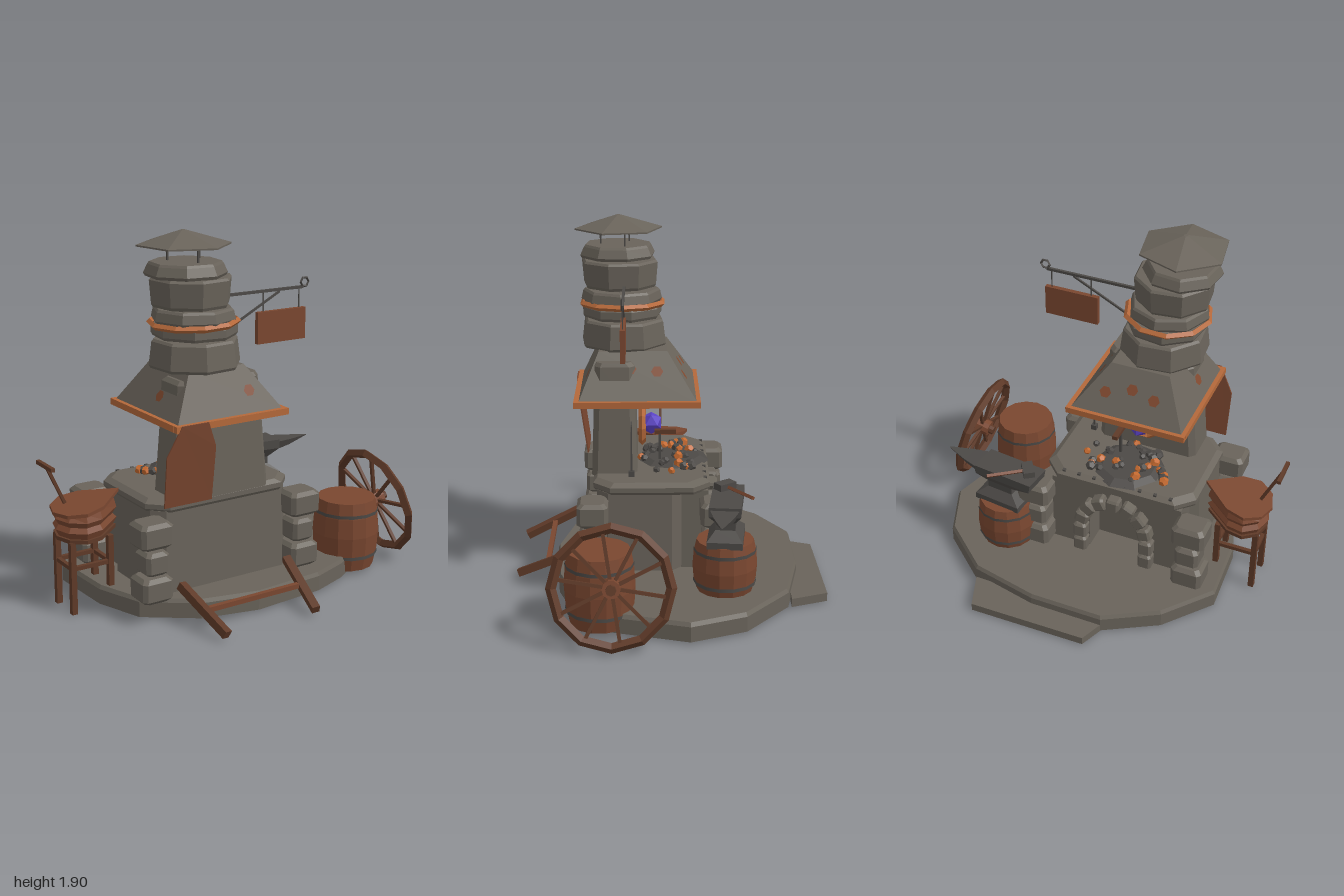
import * as THREE from 'three';

const V = (x, y, z) => new THREE.Vector3(x, y, z);
const paint = (name, color) => {
  const m = new THREE.MeshStandardMaterial({ color });
  m.name = name;
  return m;
};

// Splits shared corners so every facet is shaded flat
function flat(g) {
  const f = g.index ? g.toNonIndexed() : g;
  f.computeVertexNormals();
  return f;
}

// Closed solid through a list of equal-length rings, always facing outward
function loft(rings) {
  const tris = [], n = rings[0].length, last = rings[rings.length - 1];
  for (let i = 0; i < rings.length - 1; i++) {
    for (let j = 0; j < n; j++) {
      const k = (j + 1) % n, a = rings[i], b = rings[i + 1];
      tris.push([a[j], a[k], b[k]], [a[j], b[k], b[j]]);
    }
  }
  for (let j = 1; j < n - 1; j++) {
    tris.push([rings[0][0], rings[0][j + 1], rings[0][j]], [last[0], last[j], last[j + 1]]);
  }
  const volume = tris.reduce((s, [a, b, c]) => s + a.dot(b.clone().cross(c)), 0);
  const pts = tris.flatMap(([a, b, c]) => (volume > 0 ? [a, b, c] : [a, c, b]));
  return flat(new THREE.BufferGeometry().setFromPoints(pts));
}

// Rectangle ring, with cut corners when c > 0
function rect(x0, x1, z0, z1, y, c = 0) {
  const p = c ? [[x0 + c, z0], [x1 - c, z0], [x1, z0 + c], [x1, z1 - c], [x1 - c, z1], [x0 + c, z1], [x0, z1 - c], [x0, z0 + c]]
    : [[x0, z0], [x1, z0], [x1, z1], [x0, z1]];
  return p.map(([x, z]) => V(x, y, z));
}

const outline = (pts, y, s = 1, cx = 0, cz = 0) =>
  pts.map(([x, z]) => V(cx + (x - cx) * s, typeof y === 'function' ? y(x) : y, cz + (z - cz) * s));

const ngon = (cx, cz, r, y, n, turn = 0) => Array.from({ length: n }, (_, i) => {
  const a = turn + (i / n) * Math.PI * 2;
  return V(cx + r * Math.cos(a), y, cz + r * Math.sin(a));
});

export function createModel() {
  const root = new THREE.Group();
  root.name = 'forge';
  const stone = paint('stone', 0x69635a), iron = paint('iron', 0x4c4946), wood = paint('wood', 0x7a4730);
  const darkWood = paint('dark wood', 0x5f3a28), copper = paint('copper', 0xb4683a), rust = paint('rust', 0x80492f);
  const ember = paint('ember', 0xc4692f), crystal = paint('crystal', 0x5a42c4);

  const add = (name, geo, mat, parent = root) => {
    const m = new THREE.Mesh(geo, mat);
    m.name = name;
    parent.add(m);
    return m;
  };
  const box = (name, w, h, d, x, y, z, mat, parent) => {
    const m = add(name, new THREE.BoxGeometry(w, h, d), mat, parent);
    m.position.set(x, y, z);
    return m;
  };
  // Straight bar between two points
  const bar = (name, a, b, w, mat, parent, sides = 4) => {
    const g = flat(new THREE.CylinderGeometry(w / 2, w / 2, a.distanceTo(b), sides).rotateY(Math.PI / 4));
    const m = add(name, g, mat, parent);
    m.position.copy(a).lerp(b, 0.5);
    m.quaternion.setFromUnitVectors(V(0, 1, 0), b.clone().sub(a).normalize());
    return m;
  };
  // Block with worn edges
  const block = (name, w, h, d, x, y, z) => {
    const e = Math.min(w, h, d) * 0.15;
    const ring = (s, yy) => rect(-w / 2 + s, w / 2 - s, -d / 2 + s, d / 2 - s, yy, e);
    const m = add(name, loft([ring(e, -h / 2), ring(0, -h / 2 + e), ring(0, h / 2 - e), ring(e, h / 2)]), stone);
    m.position.set(x, y, z);
    return m;
  };

  // Ground platform and step
  const ground = [[-0.76, -0.28], [-0.55, -0.53], [-0.27, -0.69], [0.13, -0.69], [0.5, -0.61], [0.77, -0.38], [0.88, -0.1],
    [0.75, 0.35], [0.5, 0.5], [0.3, 0.57], [-0.1, 0.6], [-0.4, 0.53], [-0.65, 0.35], [-0.74, 0.1]];
  add('platform', loft([outline(ground, 0.01), outline(ground, 0.09), outline(ground, 0.11, 0.985)]), stone);
  const step = [[-0.29, -0.64], [-0.22, -0.81], [0.42, -0.82], [0.49, -0.63]];
  add('step', loft([outline(step, 0.005), outline(step, 0.05)]), stone);

  // Hearth body with an arched recess at the back
  add('hearthBody', loft([rect(-0.57, 0.26, -0.08, 0.38, 0.1, 0.06), rect(-0.56, 0.25, -0.08, 0.37, 0.54, 0.06)]), stone);
  const wall = new THREE.Shape();
  wall.moveTo(-0.37, 0.1).lineTo(-0.15, 0.1).lineTo(-0.15, 0.3);
  wall.absarc(0, 0.3, 0.15, Math.PI, 0, true);
  wall.lineTo(0.15, 0.1).lineTo(0.37, 0.1).lineTo(0.37, 0.54).lineTo(-0.37, 0.54);
  add('hearthBackWall', new THREE.ExtrudeGeometry(wall, { depth: 0.14, bevelEnabled: false, curveSegments: 8 }), stone)
    .position.set(-0.155, 0, -0.21);
  for (let i = 0; i < 7; i++) {
    const a = ((i + 0.5) / 7) * Math.PI;
    block('archStone', 0.075, 0.075, 0.09, -0.155 + 0.185 * Math.cos(a), 0.3 + 0.185 * Math.sin(a), -0.225).rotation.z = a;
  }
  for (const s of [-1, 1]) for (const y of [0.15, 0.245]) block('archStone', 0.075, 0.09, 0.09, -0.155 + s * 0.19, y, -0.225);
  for (const s of [-1, 1]) for (const z of [-0.245, 0.39]) {
    block('cornerStone', 0.18, 0.13, 0.16, -0.155 + s * 0.445, 0.455, z);
    block('cornerStone', 0.13, 0.12, 0.14, -0.155 + s * 0.44, 0.31, z);
    block('cornerStone', 0.17, 0.13, 0.16, -0.155 + s * 0.445, 0.175, z);
  }
  add('hearthSlab', loft([rect(-0.57, 0.26, -0.22, 0.38, 0.535, 0.09), rect(-0.58, 0.27, -0.22, 0.39, 0.55, 0.09),
    rect(-0.58, 0.27, -0.22, 0.39, 0.575, 0.09), rect(-0.55, 0.24, -0.19, 0.37, 0.595, 0.09)]), stone);
  for (let i = 0; i < 8; i++) box('rivet', 0.018, 0.015, 0.018, -0.46 + i * 0.087, 0.588, -0.195, iron);

  // Coals
  let seed = 7;
  const rnd = () => (seed = (seed * 16807) % 2147483647) / 2147483647;
  add('coalBed', loft([ngon(-0.16, -0.03, 0.2, 0.59, 9), ngon(-0.16, -0.03, 0.15, 0.615, 9)]), iron);
  for (let i = 0; i < 34; i++) {
    const a = rnd() * 6.28, r = 0.21 * Math.sqrt(rnd()), s = 0.016 + rnd() * 0.014;
    const c = add('coal', flat(new THREE.DodecahedronGeometry(s)), i % 3 ? iron : ember);
    c.position.set(-0.16 + r * 1.25 * Math.cos(a), 0.632 - r * 0.12, -0.02 + r * 0.8 * Math.sin(a));
    c.rotation.set(a, r * 9, 0);
  }

  // Flue column, hood and rim
  add('flueColumn', loft([rect(-0.46, 0.1, 0.16, 0.4, 0.58, 0.03), rect(-0.43, 0.07, 0.17, 0.385, 0.98, 0.03),
    rect(-0.42, 0.05, 0.17, 0.38, 1.16, 0.03), rect(-0.4, 0.04, 0.19, 0.37, 1.18, 0.03)]), stone);
  const low = rect(-0.49, 0.13, -0.155, 0.465, 0.99), high = rect(-0.36, -0.04, 0.0, 0.36, 1.225);
  add('hood', loft([rect(-0.34, -0.06, 0.02, 0.34, 1.2), rect(-0.47, 0.11, -0.135, 0.445, 0.98), low, high]), stone);
  for (const z of [-0.155, 0.472]) box('hoodRim', 0.655, 0.033, 0.032, -0.18, 0.983, z, copper);
  for (const x of [-0.492, 0.132]) box('hoodRim', 0.032, 0.033, 0.6, x, 0.983, 0.158, copper);
  // Rust patches on the hood faces: side, along, up
  for (const [f, u, v] of [[0, 0.25, 0.5], [0, 0.52, 0.6], [0, 0.8, 0.45], [1, 0.25, 0.6], [1, 0.55, 0.65], [2, 0.2, 0.48], [3, 0.4, 0.4]]) {
    const a = low[f], b = low[(f + 1) % 4], c = high[f], d = high[(f + 1) % 4];
    const p = a.clone().lerp(b, u).lerp(c.clone().lerp(d, u), v);
    const n = c.clone().sub(a).cross(b.clone().sub(a)).normalize();
    const m = add('rustPatch', new THREE.CircleGeometry(0.032, 6), rust);
    m.position.copy(p).addScaledVector(n, 0.004);
    m.lookAt(p.clone().add(n));
  }

  // Leaning chimney of stacked drums: x, z, bottom y, top y, bottom radius, top radius
  [[-0.245, 0.23, 1.22, 1.365, 0.235, 0.22], [-0.25, 0.235, 1.375, 1.44, 0.215, 0.215], [-0.26, 0.24, 1.45, 1.52, 0.215, 0.205],
    [-0.28, 0.25, 1.53, 1.675, 0.2, 0.21], [-0.315, 0.26, 1.68, 1.75, 0.205, 0.185]].forEach(([x, z, y0, y1, r0, r1], i) => {
    const t = 0.3 + i * 0.25;
    add('chimneyDrum', loft([ngon(x, z, r0 * 0.96, y0, 8, t), ngon(x, z, r0, y0 + 0.015, 8, t),
      ngon(x, z, r1, y1 - 0.012, 8, t), ngon(x, z, r1 * 0.95, y1, 8, t)]), stone);
  });
  add('chimneyCore', loft([ngon(-0.23, 0.22, 0.15, 1.2, 8), ngon(-0.31, 0.26, 0.15, 1.7, 8)]), stone);
  const band = add('chimneyBand', flat(new THREE.TorusGeometry(0.218, 0.017, 4, 10).rotateX(Math.PI / 2)), copper);
  band.position.set(-0.255, 1.445, 0.235);
  band.rotation.z = 0.03;
  for (const [x, z] of [[-0.38, 0.2], [-0.21, 0.22], [-0.3, 0.35]]) bar('capPost', V(x, 1.74, z), V(x, 1.85, z), 0.012, iron);
  add('chimneyCap', loft([ngon(-0.32, 0.255, 0.235, 1.825, 6, 0.35), ngon(-0.32, 0.255, 0.235, 1.833, 6, 0.35),
    ngon(-0.325, 0.255, 0.012, 1.9, 6, 0.35)]), stone);

  // Bracket and hanging sign board
  bar('signArm', V(-0.12, 1.55, 0.225), V(0.42, 1.55, 0.225), 0.02, iron);
  bar('signBrace', V(-0.08, 1.36, 0.225), V(0.27, 1.54, 0.225), 0.014, iron);
  add('signArmCurl', flat(new THREE.TorusGeometry(0.025, 0.007, 4, 6)), iron).position.set(0.43, 1.575, 0.225);
  for (const x of [0.17, 0.395]) bar('signHanger', V(x, 1.43, 0.225), V(x, 1.55, 0.225), 0.007, iron);
  box('signBoard', 0.3, 0.165, 0.025, 0.28, 1.362, 0.225, wood);

  // Hanging apron
  const apron = [[-0.48, 1, 0.49], [-0.33, 1, 0.49], [-0.28, 0.87, 0.475], [-0.28, 0.585, 0.435], [-0.55, 0.585, 0.435], [-0.555, 0.85, 0.47]];
  const sheet = (o) => apron.map(([x, y, z]) => V(x, y, z + o));
  add('apron', loft([sheet(-0.004), sheet(0.004)]), wood);

  // Crystal in a copper ring on the flue
  add('crystalRing', flat(new THREE.TorusGeometry(0.1, 0.02, 4, 10)), copper).position.set(-0.17, 0.79, 0.135);
  add('crystal', flat(new THREE.IcosahedronGeometry(0.062)), crystal).position.set(-0.17, 0.79, 0.085);
  bar('toolPost', V(-0.08, 0.6, 0.04), V(-0.08, 0.77, 0.04), 0.02, iron);
  box('toolHead', 0.03, 0.022, 0.115, -0.08, 0.77, 0.01, darkWood);
  // Poker rack beside the flue
  bar('pokerRack', V(0.14, 0.6, 0.19), V(0.14, 0.87, 0.19), 0.012, iron);
  bar('pokerRack', V(0.14, 0.87, 0.19), V(0.07, 0.87, 0.19), 0.012, iron);
  box('pokerFoot', 0.03, 0.03, 0.03, 0.14, 0.61, 0.19, iron);

  // Barrels
  const barrel = (name, x, z, y0, h, r) => {
    const p = [[0, 0], [0.86, 0], [0.96, 0.22], [1, 0.5], [0.96, 0.78], [0.88, 1], [0, 1]];
    const b = new THREE.Group();
    b.name = name;
    b.position.set(x, y0, z);
    root.add(b);
    add('staves', flat(new THREE.LatheGeometry(p.map(([u, v]) => new THREE.Vector2(u * r, v * h)), 14)), wood, b);
    for (const v of [0.2, 0.82]) {
      add('hoop', new THREE.CylinderGeometry(r * 0.975, r * 0.975, 0.018, 14, 1, true), iron, b).position.y = v * h;
    }
  };
  barrel('waterBarrel', 0.65, 0.345, 0.02, 0.38, 0.178);
  barrel('anvilBarrel', 0.46, -0.285, 0.1, 0.275, 0.165);

  // Anvil with hammer
  const anvil = new THREE.Group();
  anvil.name = 'anvil';
  anvil.position.set(0.46, 0, -0.29);
  anvil.rotation.y = -0.12;
  root.add(anvil);
  add('anvilBody', loft([rect(-0.13, 0.14, -0.09, 0.09, 0.37), rect(-0.13, 0.14, -0.09, 0.09, 0.405), rect(-0.07, 0.08, -0.05, 0.05, 0.45),
    rect(-0.07, 0.08, -0.05, 0.05, 0.49), rect(-0.2, 0.14, -0.08, 0.08, 0.54), rect(-0.21, 0.14, -0.08, 0.08, 0.59)]), iron, anvil);
  const horn = (x, r, y) => [[-r, 0.02], [r, 0.02], [r * 0.7, -0.03], [-r * 0.7, -0.03]].map(([z, dy]) => V(x, y + dy * r / 0.07, z));
  add('anvilHorn', loft([horn(0.13, 0.075, 0.555), horn(0.23, 0.05, 0.56), horn(0.36, 0.004, 0.572)]), iron, anvil);
  bar('hammerHandle', V(0.32, 0.605, -0.29), V(0.5, 0.605, -0.42), 0.022, wood);
  box('hammerHead', 0.06, 0.035, 0.1, 0.32, 0.608, -0.29, iron).rotation.y = 0.6;

  // Leaning cart wheel
  const wheel = new THREE.Group();
  wheel.name = 'cartWheel';
  wheel.position.set(0.905, 0.31, 0.28);
  wheel.rotation.z = 0.25;
  root.add(wheel);
  add('wheelRim', flat(new THREE.TorusGeometry(0.287, 0.026, 4, 12).rotateY(Math.PI / 2)), darkWood, wheel);
  add('hub', flat(new THREE.CylinderGeometry(0.045, 0.045, 0.09, 10).rotateZ(Math.PI / 2)), wood, wheel);
  add('axleCap', flat(new THREE.CylinderGeometry(0.026, 0.026, 0.145, 8).rotateZ(Math.PI / 2)), darkWood, wheel);
  for (let i = 0; i < 10; i++) {
    const a = (i / 10) * Math.PI * 2 + 0.15;
    bar('spoke', V(0, 0.03 * Math.cos(a), 0.03 * Math.sin(a)), V(0, 0.28 * Math.cos(a), 0.28 * Math.sin(a)), 0.024, darkWood, wheel);
  }

  // Cart shafts
  for (const s of [-1, 1]) bar('shaft', V(-0.16 + s * 0.32, 0.185, 0.47), V(-0.16 + s * 0.265, 0.035, 0.8), 0.058, darkWood);
  bar('shaftCrossbar', V(-0.44, 0.108, 0.64), V(0.13, 0.108, 0.64), 0.036, wood);

  // Bellows on a trestle
  const drop = [[-0.95, 0.03], [-0.92, -0.07], [-0.84, -0.13], [-0.74, -0.11], [-0.58, 0.03], [-0.74, 0.17], [-0.84, 0.19], [-0.92, 0.13]];
  const slope = (x) => 0.505 + (x + 0.95) * 0.16;
  const ring = (y, s) => outline(drop, y, s, -0.79, 0.03);
  add('bellowsBase', loft([ring(0.375, 0.9), ring(0.395, 0.9)]), darkWood);
  add('bellowsBag', loft([ring(0.395, 0.82), ring(0.43, 0.93), ring(0.455, 0.82), ring(0.485, 0.93), ring(slope, 0.82)]), wood);
  add('bellowsLid', loft([ring(slope, 1), ring((x) => slope(x) + 0.018, 1)]), wood);
  for (const x of [-0.895, -0.685]) {
    for (const z of [-0.05, 0.12]) bar('trestleLeg', V(x, 0, z), V(x, 0.38, z), 0.042, darkWood);
    bar('trestleRail', V(x, 0.24, -0.05), V(x, 0.24, 0.12), 0.03, darkWood);
  }
  for (const z of [-0.05, 0.12]) bar('trestleRail', V(-0.895, 0.24, z), V(-0.685, 0.24, z), 0.03, darkWood);
  bar('bellowsLever', V(-0.885, 0.56, 0.03), V(-0.98, 0.77, 0.03), 0.022, darkWood);
  bar('leverGrip', V(-0.985, 0.77, -0.05), V(-0.985, 0.77, 0.12), 0.028, darkWood);

  return root;
}
